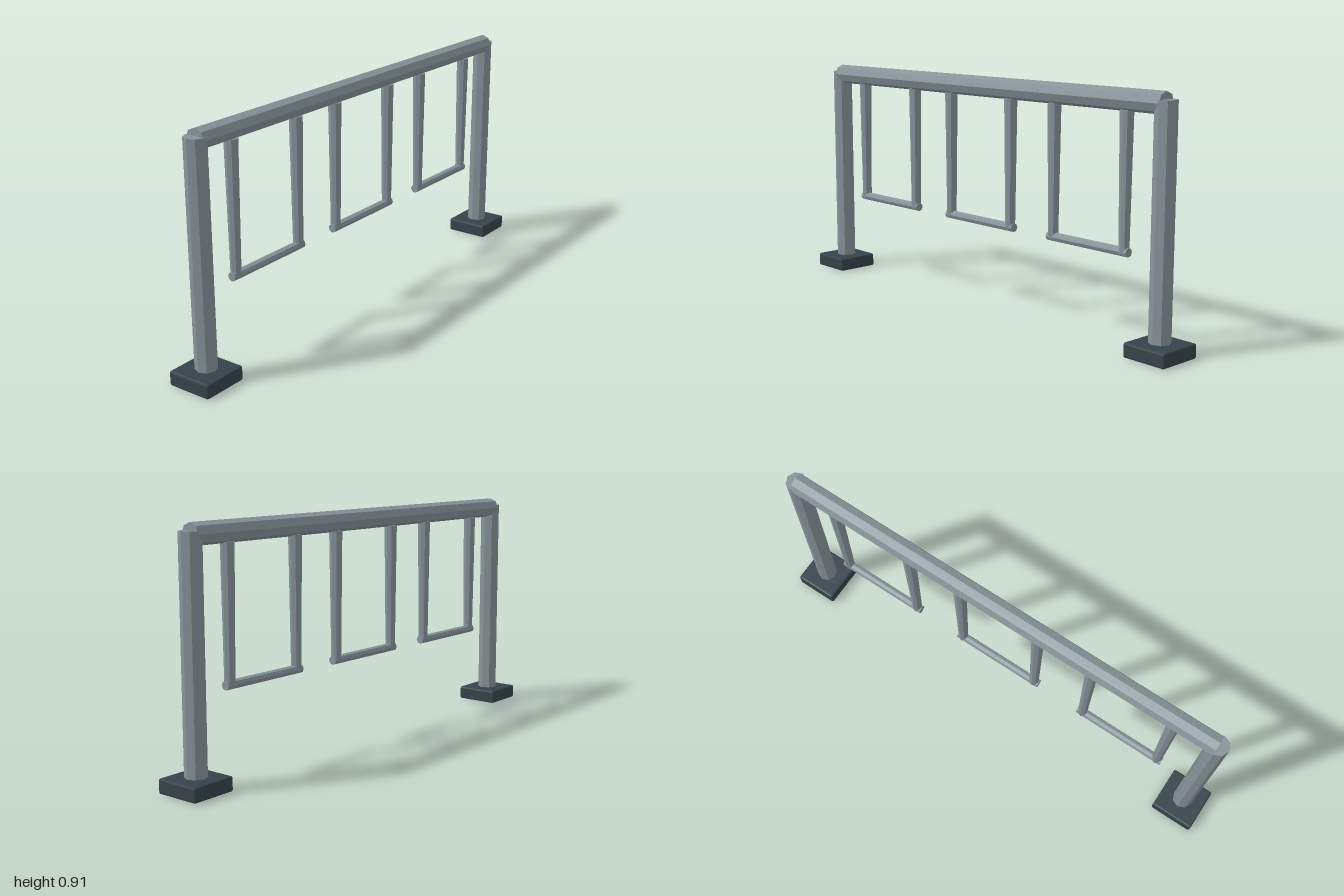
import * as THREE from 'three';
import { RoundedBoxGeometry } from 'three/addons/geometries/RoundedBoxGeometry.js';

export function createModel() {
  const model = new THREE.Group();
  model.name = 'hangingFrameRail';

  const steel = new THREE.MeshStandardMaterial({ color: 0x87949a, flatShading: true });
  steel.name = 'grey steel';
  const dark = new THREE.MeshStandardMaterial({ color: 0x36434a, flatShading: true });
  dark.name = 'dark slate';

  const add = (parent, name, geometry, material, x, y) => {
    const mesh = new THREE.Mesh(geometry, material);
    mesh.name = name;
    mesh.position.set(x, y, 0);
    parent.add(mesh);
    return mesh;
  };
  // Eight-sided bars, standing or lying along x
  const upright = (rTop, rBottom, y0, y1) =>
    new THREE.CylinderGeometry(rTop, rBottom, y1 - y0, 8).translate(0, (y0 + y1) / 2, 0);
  const level = (r, length) => new THREE.CylinderGeometry(r, r, length, 8).rotateZ(Math.PI / 2);

  // Posts on chamfered feet
  for (const [side, s] of [['left', 1], ['right', -1]]) {
    add(model, side + 'Foot', new RoundedBoxGeometry(0.178, 0.055, 0.178, 1, 0.007), dark, s * 0.911, 0.0285);
    add(model, side + 'Post', upright(0.04, 0.04, 0.03, 0.887), steel, s * 0.91, 0);
  }

  // Top beam
  add(model, 'topBeam', level(0.04, 1.82), steel, 0, 0.875);

  // Three hanging frames with slightly tapered hangers
  for (const x of [-0.571, 0, 0.571]) {
    const frame = new THREE.Group();
    frame.name = 'hangingFrame';
    frame.position.x = x;
    for (const s of [-1, 1]) {
      add(frame, 'hanger', upright(0.025, 0.019, 0.34, 0.84), steel, s * 0.171, 0);
    }
    add(frame, 'crossBar', level(0.017, 0.386), steel, 0, 0.345);
    model.add(frame);
  }
  return model;
}
